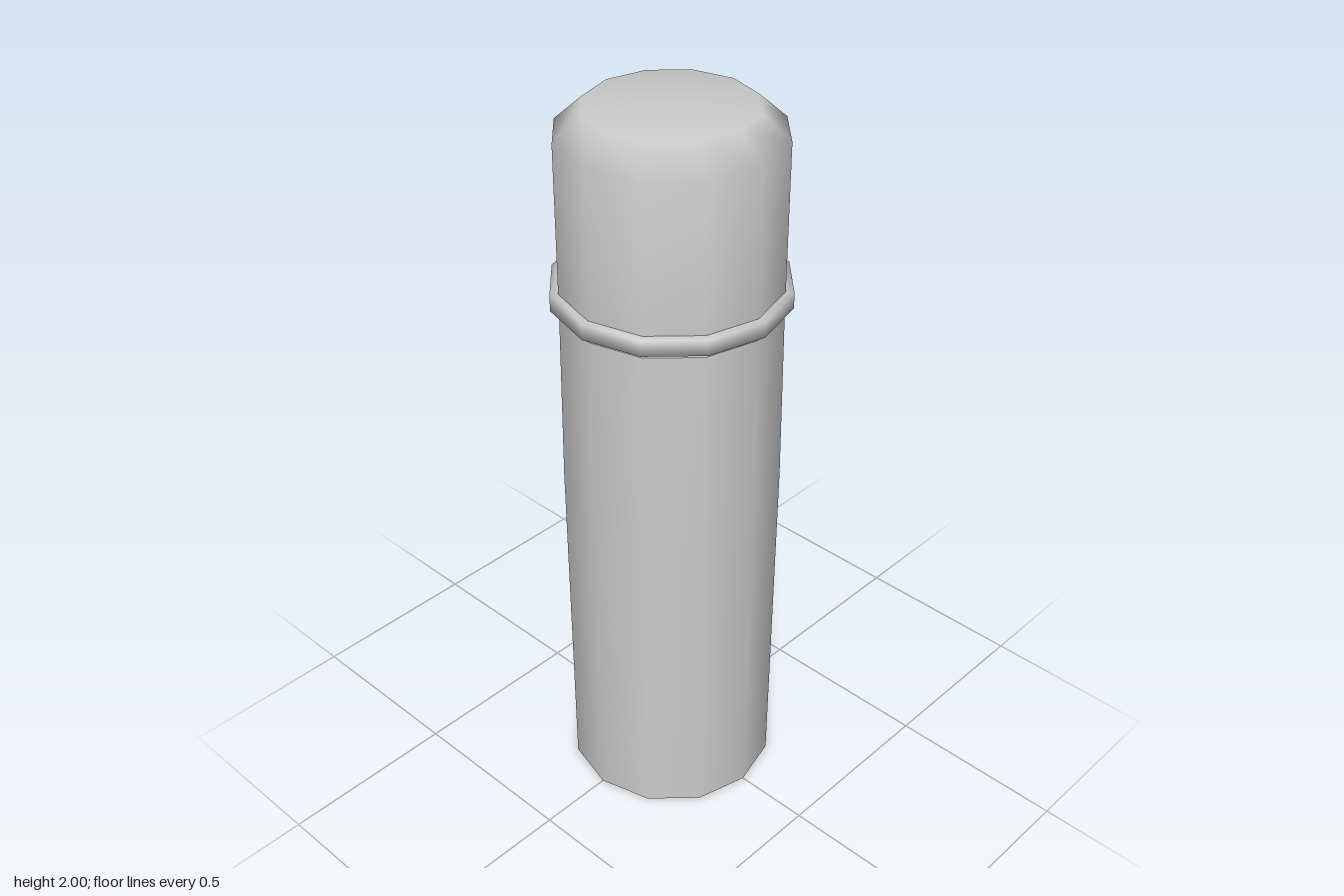
import * as THREE from 'three';

const SIDES = 12;

export function createModel() {
  const group = new THREE.Group();
  const material = new THREE.MeshStandardMaterial({ color: 0xcccccc });

  // Turned part from [radius, height] pairs, listed bottom to top
  function turned(name, profile) {
    const points = profile.map(([r, y]) => new THREE.Vector2(r, y));
    const mesh = new THREE.Mesh(new THREE.LatheGeometry(points, SIDES), material);
    mesh.name = name;
    group.add(mesh);
  }

  // Flat base with a crisp rim
  turned('base', [[0, 0], [0.288, 0]]);

  // Tall body, very slightly fuller in the middle
  turned('body', [[0.288, 0], [0.293, 1], [0.288, 1.48]]);
  turned('bodyShoulder', [[0.288, 1.48], [0.28, 1.48]]);

  // Narrow neck in the gap under the collar
  turned('neck', [[0.28, 1.48], [0.28, 1.5]]);

  // Collar with softly shaded edges
  turned('collar', [[0.28, 1.497], [0.31, 1.497], [0.31, 1.54], [0.288, 1.54]]);

  // Cap with a bevelled, smoothly shaded top
  turned('cap', [[0.288, 1.54], [0.288, 1.935], [0.216, 2], [0, 2]]);

  return group;
}
